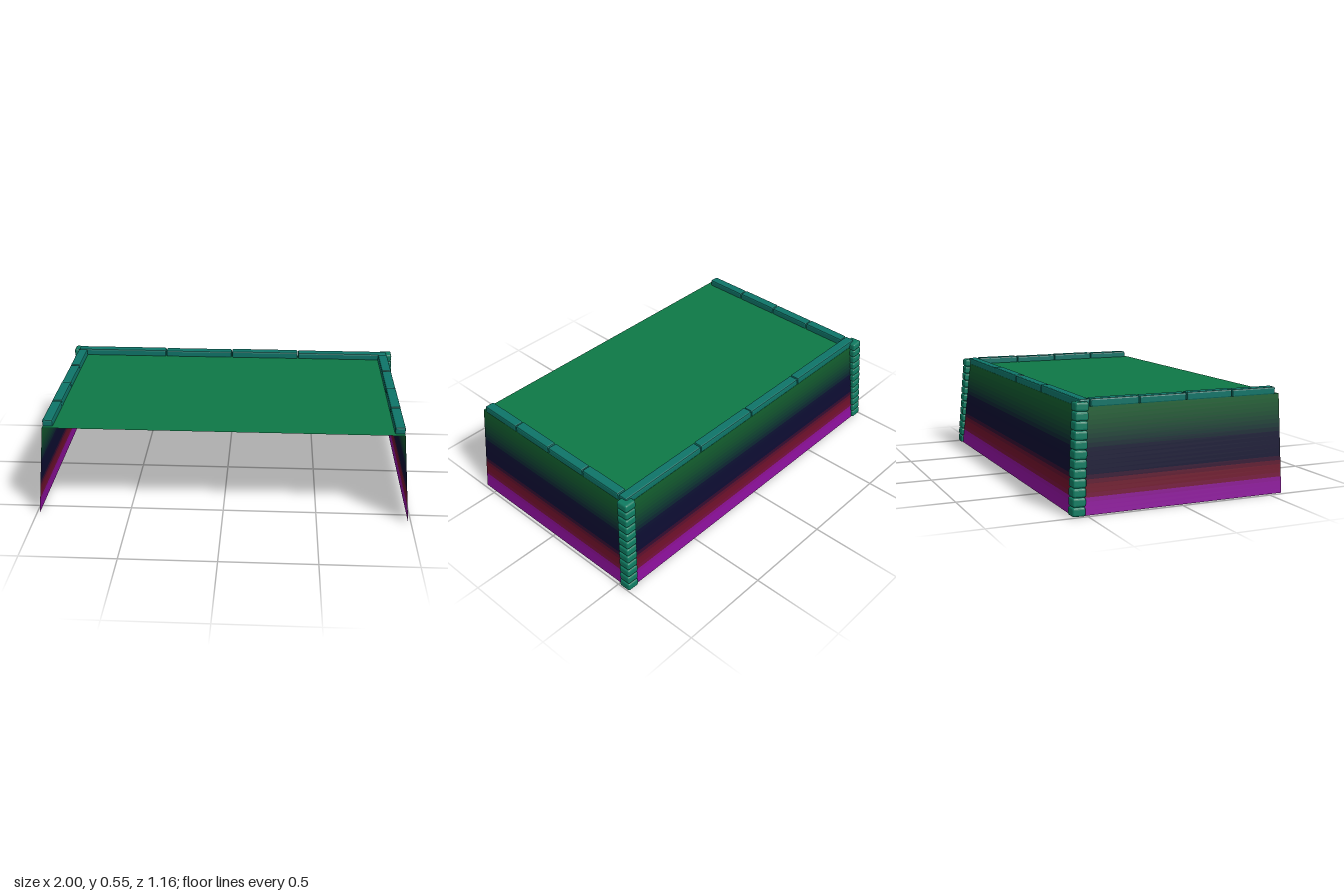
import * as THREE from 'three';
import { RoundedBoxGeometry } from 'three/addons/geometries/RoundedBoxGeometry.js';

const TOP = 0.508, FRONT = 0.578;

// Horizontal outline of the three leaning walls at height fraction t
function outline(t) {
  const x = 0.985 - 0.052 * t, z = -0.565 + 0.05 * t, y = TOP * t;
  return [[x, FRONT], [x, z], [-x, z], [-x, FRONT]].map(([px, pz]) => new THREE.Vector3(px, y, pz));
}

// One U-shaped strip of wall between two height fractions
function bandGeometry(t0, t1) {
  const a = outline(t0), b = outline(t1), pts = [];
  for (let i = 0; i < 3; i++) pts.push(a[i], a[i + 1], b[i + 1], a[i], b[i + 1], b[i]);
  const g = new THREE.BufferGeometry().setFromPoints(pts);
  g.computeVertexNormals();
  return g;
}

// Wall colour by height: magenta, crimson, navy, green
const stops = [
  [0, 0x8c109c], [0.14, 0x8a0f98], [0.19, 0x70102c], [0.29, 0x6a1028],
  [0.37, 0x0d0b30], [0.6, 0x0c0d30], [0.68, 0x0c3030], [0.85, 0x10502c], [1, 0x125e2c],
];
function wallColor(t) {
  let i = 1;
  while (i < stops.length - 1 && stops[i][0] < t) i++;
  const [t0, c0] = stops[i - 1], [t1, c1] = stops[i];
  return new THREE.Color(c0).lerp(new THREE.Color(c1), (t - t0) / (t1 - t0));
}

export function createModel() {
  const model = new THREE.Group();
  const stoneMat = new THREE.MeshStandardMaterial({ color: 0x0f7c62, flatShading: true });
  const railMat = new THREE.MeshStandardMaterial({ color: 0x0e7468, flatShading: true });
  const deckMat = new THREE.MeshStandardMaterial({ color: 0x0e7846, side: THREE.DoubleSide });

  // Walls on the back and both sides, open at the front
  const walls = new THREE.Group();
  walls.name = 'walls';
  const BANDS = 24;
  for (let i = 0; i < BANDS; i++) {
    const mat = new THREE.MeshStandardMaterial({ color: wallColor((i + 0.5) / BANDS), side: THREE.DoubleSide });
    const band = new THREE.Mesh(bandGeometry(i / BANDS, (i + 1) / BANDS), mat);
    band.name = 'wallBand';
    walls.add(band);
  }
  model.add(walls);

  // Flat top surface
  const back = -0.515;
  const deck = new THREE.Mesh(new THREE.PlaneGeometry(1.866, FRONT - back).rotateX(-Math.PI / 2), deckMat);
  deck.position.set(0, TOP, (FRONT + back) / 2);
  deck.name = 'deck';
  model.add(deck);

  // Rows of bevelled stones along the top edges
  function rail(name, cuts, place, alongX) {
    const group = new THREE.Group();
    group.name = name;
    for (let i = 0; i < cuts.length - 1; i++) {
      const len = cuts[i + 1] - cuts[i] - 0.003;
      const h = 0.042 - 0.002 * (i % 2);
      const geo = new RoundedBoxGeometry(alongX ? len : 0.054, h, alongX ? 0.054 : len, 1, 0.008);
      const stone = new THREE.Mesh(geo, railMat);
      stone.position.copy(place((cuts[i] + cuts[i + 1]) / 2, 0.503 + h / 2));
      stone.name = 'railStone';
      group.add(stone);
    }
    model.add(group);
  }
  rail('backRail', [-0.935, -0.4, 0, 0.4, 0.935], (c, y) => new THREE.Vector3(c, y, -0.488), true);
  for (const side of [1, -1]) {
    rail(side > 0 ? 'leftRail' : 'rightRail', [-0.46, -0.205, 0.05, 0.305, 0.558],
      (c, y) => new THREE.Vector3(side * 0.908, y, c), false);
  }

  // Leaning corner posts of stacked stones
  const STONES = 12, step = 0.535 / STONES;
  const stoneGeo = new RoundedBoxGeometry(0.068, step, 0.068, 2, 0.011);
  for (const side of [1, -1]) {
    const post = new THREE.Group();
    post.name = side > 0 ? 'leftPost' : 'rightPost';
    for (let i = 0; i < STONES; i++) {
      const t = i / (STONES - 1);
      const stone = new THREE.Mesh(stoneGeo, stoneMat);
      stone.position.set(side * (0.966 - 0.034 * t), step * (i + 0.5), -0.544 + 0.032 * t);
      stone.rotation.set(0.03, 0, side * 0.03);
      stone.name = 'postStone';
      post.add(stone);
    }
    model.add(post);
  }
  return model;
}
